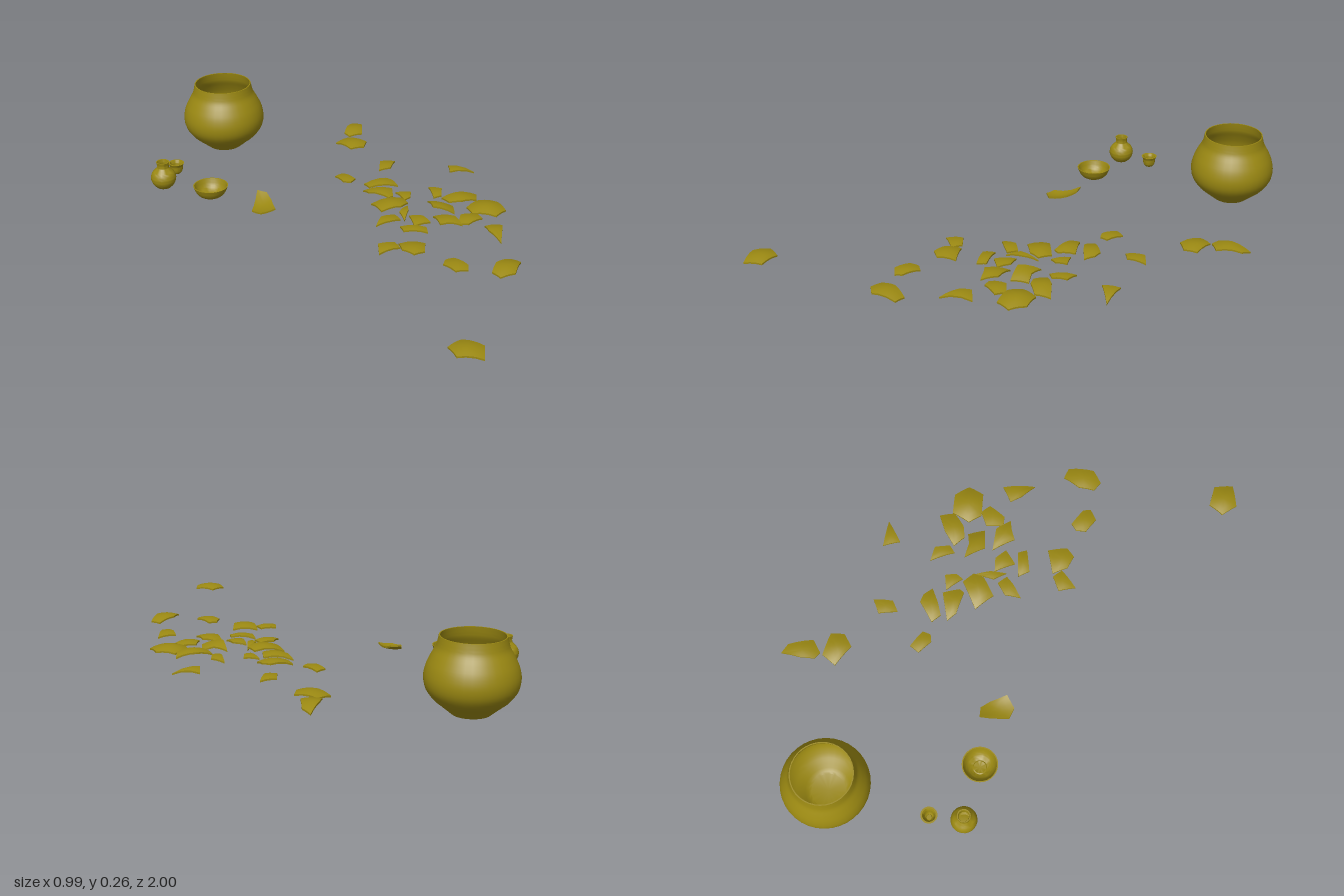
import * as THREE from 'three';
import { toCreasedNormals } from 'three/addons/utils/BufferGeometryUtils.js';

const clay = new THREE.MeshStandardMaterial({ color: 0x9a8812, side: THREE.DoubleSide });
const GROUND = 0.032; // level the small pieces rest on

// Turned vessel: outer profile from base to rim, then the inner wall back down to the floor
function vessel(name, x, y, z, wall, profile, segments) {
  const outer = profile.map(([r, h]) => new THREE.Vector2(r, h));
  const curve = new THREE.SplineCurve(outer).getPoints(profile.length * 3);
  const inner = curve.map(p => new THREE.Vector2(Math.max(p.x - wall, 0.002), p.y)).reverse();
  inner[inner.length - 1].y += wall;
  const points = [new THREE.Vector2(0, 0), ...curve, ...inner, new THREE.Vector2(0, wall)];
  const mesh = new THREE.Mesh(toCreasedNormals(new THREE.LatheGeometry(points, segments), 0.6), clay);
  mesh.name = name;
  mesh.position.set(x, y, z);
  return mesh;
}

// Curved fragment: outline (x, z pairs in hundredths, clockwise from above) bent over a sphere.
// A negative bend radius turns it into a dish; tilt raises it along x and z.
function shard(outline, { bend = 0.14, tiltX = 0, tiltZ = 0, thick = 0.006 } = {}) {
  const corners = [];
  for (let i = 0; i < outline.length; i += 2) corners.push(new THREE.Vector2(outline[i] / 100, outline[i + 1] / 100));
  const centre = corners.reduce((sum, p) => sum.add(p), new THREE.Vector2()).divideScalar(corners.length);
  // Split every edge so that the bend shows along the rim
  const rim = corners.flatMap((p, i) => {
    const q = corners[(i + 1) % corners.length];
    return [0, 1 / 3, 2 / 3].map(t => p.clone().lerp(q, t).sub(centre));
  });
  const n = rim.length, rings = 3, positions = [], index = [];
  const height = (x, z) => -(x * x + z * z) / (2 * bend) + tiltX * x + tiltZ * z;
  const addVertex = (x, z, drop) => positions.push(x, height(x, z) - drop, z) / 3 - 1;

  // Upper and lower skins
  for (const drop of [0, thick]) {
    const face = (a, b, c) => drop ? index.push(a, b, c) : index.push(a, c, b);
    const start = addVertex(0, 0, drop);
    for (let r = 1; r <= rings; r++) rim.forEach(p => addVertex(p.x * r / rings, p.y * r / rings, drop));
    for (let i = 0; i < n; i++) {
      const j = (i + 1) % n;
      face(start, start + 1 + i, start + 1 + j);
      for (let r = 1; r < rings; r++) {
        const a = start + 1 + (r - 1) * n, b = a + n;
        face(a + i, b + i, b + j);
        face(a + i, b + j, a + j);
      }
    }
  }
  // Broken edge
  for (let i = 0; i < n; i++) {
    const p = rim[i], q = rim[(i + 1) % n];
    const a = addVertex(p.x, p.y, 0), b = addVertex(q.x, q.y, 0);
    const c = addVertex(q.x, q.y, thick), d = addVertex(p.x, p.y, thick);
    index.push(a, b, c, a, c, d);
  }
  const geometry = new THREE.BufferGeometry();
  geometry.setAttribute('position', new THREE.Float32BufferAttribute(positions, 3));
  geometry.setIndex(index);
  geometry.computeVertexNormals();
  geometry.computeBoundingBox();
  const mesh = new THREE.Mesh(geometry, clay);
  mesh.name = 'shard';
  mesh.position.set(centre.x, GROUND - geometry.boundingBox.min.y, centre.y);
  return mesh;
}

export function createModel() {
  const model = new THREE.Group();
  model.name = 'potteryFind';

  // Whole vessels
  model.add(
    vessel('largePot', -0.013, 0, -0.844, 0.004, [
      [0.065, 0], [0.1, 0.029], [0.127, 0.052], [0.15, 0.085], [0.157, 0.122],
      [0.15, 0.16], [0.135, 0.193], [0.12, 0.22], [0.114, 0.24], [0.11, 0.26]], 36),
    vessel('smallJar', -0.455, GROUND, -0.627, 0.004, [
      [0.026, 0], [0.04, 0.015], [0.047, 0.036], [0.042, 0.056],
      [0.03, 0.07], [0.023, 0.078], [0.022, 0.09], [0.024, 0.101]], 24),
    vessel('cup', -0.352, GROUND, -0.693, 0.006, [
      [0.015, 0], [0.022, 0.01], [0.024, 0.022], [0.025, 0.03], [0.03, 0.041]], 20),
    vessel('bowl', -0.373, GROUND, -0.443, 0.004, [
      [0.026, 0], [0.044, 0.01], [0.056, 0.025], [0.064, 0.045]], 28)
  );

  // Scattered fragments
  const shards = new THREE.Group();
  shards.name = 'shards';
  const add = (outline, options) => shards.add(shard(outline, options));

  // Back fragments
  add([34, -52, 38, -55, 45, -58, 45, -54, 39, -47, 34, -49]);
  add([27, -49, 33, -49, 36, -41, 32, -38, 27, -40]);
  add([-26, -31, -24, -28, -25, -24, -28, -18, -33, -20, -34, -24], { bend: -0.14, tiltX: 0.22, tiltZ: -0.08 });
  add([7, -26, 11, -26, 11, -19, 8, -18, 6, -20]);
  add([28, -24, 33, -21, 27, -17, 23, -19]);

  // Middle cluster
  add([11, -14, 19, -11, 20, -8, 19, -4, 14, -7, 10, -10]);
  add([7, -10, 15, -3, 11, 2, 9, 2, 6, -6]);
  add([15, -1, 19, 3, 16, 6, 13, 6]);
  add([44, -3, 49, 6, 40, 2], { tiltX: -0.1 });
  add([2, 0, 12, 5, 11, 10, 7, 11, 0, 8]);
  add([27, 4, 29, 9, 25, 13, 22, 12]);
  add([-8, 14, -3, 11, 2, 13, 1, 17, -3, 16]);
  add([2, 18, 4, 13, 11, 10, 7, 14.5]);
  add([18, 13, 20, 18, 23, 21, 19, 26, 14, 20], { tiltX: -0.3 });
  add([24, 14, 30, 16, 36, 20, 32, 24, 26, 22, 23, 19]);
  add([6, 16, 9, 20, 8, 25, 2, 23]);
  add([-2, 20, 4, 27, 2, 30, -4, 24]);
  add([12, 22, 16, 29, 14, 35, 11, 32, 8, 30]);
  add([-17, 25, -12, 28, -13, 32, -21, 30]);
  add([-11, 29, -4, 35, -9, 40, -13, 39, -14, 34]);
  add([20, 28, 25, 31, 24, 35, 17, 35, 15, 32]);
  add([26, 25, 33, 24, 37, 30, 35, 36, 29, 37, 24, 30]);

  // Front fragments
  add([19, 41, 25, 44, 16, 52, 17, 45]);
  add([-10, 50, -7, 48, -4, 49, -4, 56, -6, 58, -10, 56]);
  add([-2, 65, 3, 62, 10, 62, 11, 66, 3, 71, -2, 69]);
  add([-45, 88, -39, 88, -36, 95, -41, 100, -47, 94]);

  model.add(shards);
  return model;
}
